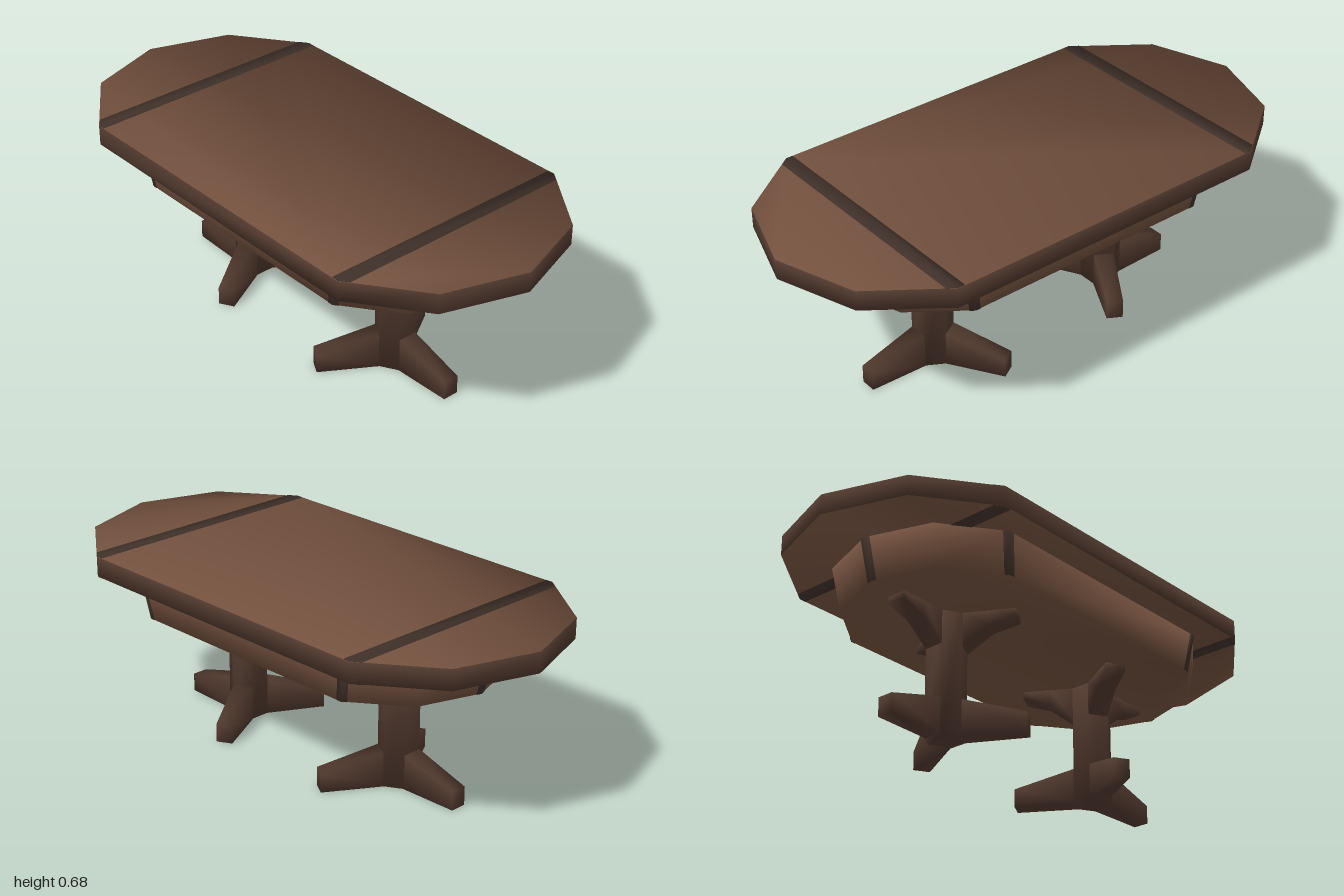
import * as THREE from 'three';

const mat = (name, color) => Object.assign(new THREE.MeshStandardMaterial({ color }), { name });

// Solid skinned through rings of [x, y, z] points, with softened normals.
// Group 0 is the sides, group 1 the two end caps.
function loft(rings) {
  const n = rings[0].length, last = (rings.length - 1) * n;
  const sides = [], caps = [];
  for (let k = 0; k < last; k += n) {
    for (let i = 0; i < n; i++) {
      const j = (i + 1) % n;
      sides.push(k + i, k + j, k + n + j, k + i, k + n + j, k + n + i);
    }
  }
  for (let i = 1; i < n - 1; i++) caps.push(last, last + i, last + i + 1, 0, i + 1, i);
  const index = [...sides, ...caps];
  const pts = rings.flat().map((p) => new THREE.Vector3(...p));
  const normals = pts.map(() => new THREE.Vector3());
  for (let f = 0; f < index.length; f += 3) {
    const [a, b, c] = index.slice(f, f + 3);
    const face = pts[b].clone().sub(pts[a]).cross(pts[c].clone().sub(pts[a])).normalize();
    for (const v of [a, b, c]) normals[v].add(face);
  }
  const g = new THREE.BufferGeometry();
  g.setAttribute('position', new THREE.Float32BufferAttribute(rings.flat(2), 3));
  g.setAttribute('normal', new THREE.Float32BufferAttribute(normals.flatMap((v) => v.normalize().toArray()), 3));
  g.setIndex(index);
  g.addGroup(0, sides.length, 0);
  g.addGroup(sides.length, caps.length, 1);
  return g;
}

// Horizontal outline [x, z] placed at height y, scaled in plan
const level = (outline, y, sx = 1, sz = sx) => outline.map(([x, z]) => [x * sx, y, z * sz]);

// Ten-sided table outline, counterclockwise from above
const half = [[0.64, 0.49], [0.9, 0.3], [1, 0], [0.9, -0.3], [0.64, -0.49]];
const OUTLINE = [...half, ...half.map(([x, z]) => [-x, -z])];

export function createModel() {
  const wood = mat('warm brown wood', 0x75523f);
  const darkWood = mat('dark brown wood', 0x51392e);
  const inlay = mat('inlay brown', 0x41322b);
  const model = new THREE.Group();
  model.name = 'table';

  const add = (name, geometry, material, parent = model) => {
    const mesh = new THREE.Mesh(geometry, material);
    mesh.name = name;
    parent.add(mesh);
    return mesh;
  };

  // Table top with a darker rim
  add('tableTop', loft([level(OUTLINE, 0.605), level(OUTLINE, 0.68)]), [darkWood, wood]);

  // Inlaid bands across the top and underside
  const band = [[0.615, 0.488], [0.64, 0.488], [0.672, 0.465], [0.672, -0.465], [0.64, -0.488], [0.615, -0.488]];
  for (const s of [1, -1]) {
    const ring = band.map(([x, z]) => [s * x, s * z]);
    add('topBand', loft([level(ring, 0.678), level(ring, 0.682)]), inlay);
    add('undersideBand', loft([level(ring, 0.603), level(ring, 0.607)]), inlay);
  }

  // Tapered apron under the top
  const taper = (outline, k = 1) => loft([
    level(outline, 0.455, 0.76 * k, 0.765 * k),
    level(outline, 0.606, 0.8 * k),
  ]);
  add('apron', taper(OUTLINE), wood);

  // Dark strips wrapping the apron's long corners and end points
  const toward = (a, b, d) => {
    const t = d / Math.hypot(b[0] - a[0], b[1] - a[1]);
    return [a[0] + (b[0] - a[0]) * t, a[1] + (b[1] - a[1]) * t];
  };
  for (const i of [0, 2, 4, 5, 7, 9]) {
    const v = OUTLINE[i];
    const strip = [toward(v, OUTLINE[(i + 9) % 10], 0.027), v, toward(v, OUTLINE[(i + 1) % 10], 0.027)];
    const mesh = add('apronStrip', taper(strip, 1.004), inlay);
    mesh.scale.y = 0.998;
    mesh.position.y = 0.001;
  }

  // Pedestals: hexagonal post with three feet and three brackets
  const hexagon = Array.from({ length: 6 }, (_, i) => {
    const a = Math.PI / 6 + (i * Math.PI) / 3;
    return [0.074 * Math.cos(a), -0.074 * Math.sin(a)];
  });
  const section = ([r, y0, y1, w]) => [[r, y0, w], [r, y0, -w], [r, y1, -w], [r, y1, w]];
  const post = loft([level(hexagon, 0.001), level(hexagon, 0.458)]);
  const foot = loft([[0.055, 0, 0.133, 0.037], [0.285, 0, 0.07, 0.03]].map(section));
  const bracket = loft([
    [0.055, 0.322, 0.457, 0.037], [0.155, 0.4, 0.457, 0.037], [0.25, 0.43, 0.457, 0.037],
  ].map(section));

  for (const s of [1, -1]) {
    const pedestal = new THREE.Group();
    pedestal.name = s > 0 ? 'leftPedestal' : 'rightPedestal';
    pedestal.position.x = s * 0.392;
    pedestal.rotation.y = s > 0 ? 0 : Math.PI;
    add('post', post, darkWood, pedestal);
    for (let i = 0; i < 3; i++) {
      const angle = (i * Math.PI * 2) / 3;
      add('foot', foot, darkWood, pedestal).rotation.y = angle;
      add('bracket', bracket, darkWood, pedestal).rotation.y = angle;
    }
    model.add(pedestal);
  }
  return model;
}
